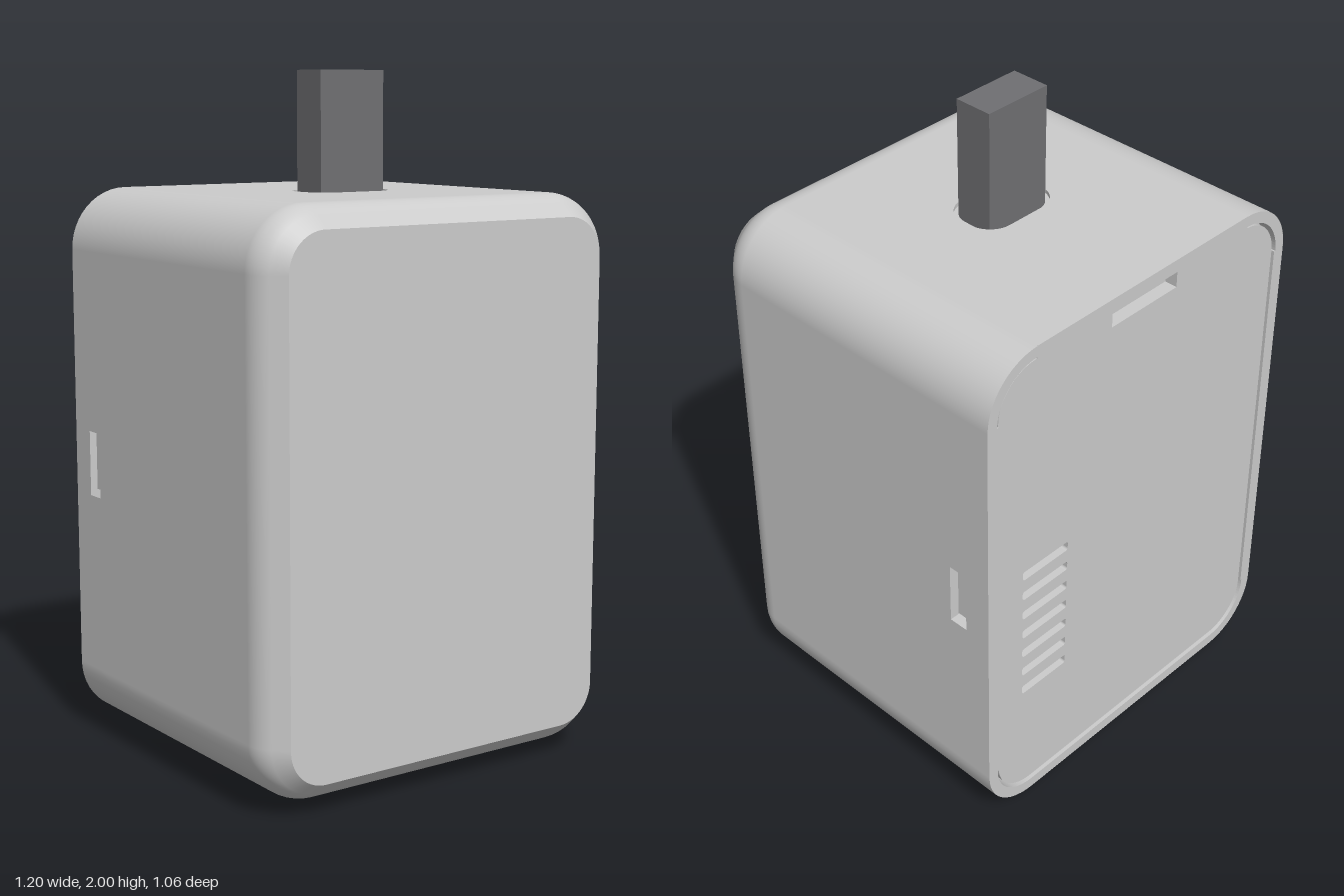
import * as THREE from 'three';

const W = 1.2, H = 1.625, R = 0.18, Y0 = 0.03, CY = Y0 + H / 2;
const BACK = -0.53, FRONT = 0.53, BEND = 0.42, WALL = 0.04;

const paint = (color, side = THREE.FrontSide) => new THREE.MeshStandardMaterial({ color, side });
const grey = paint(0xcccccc);
const greyDouble = paint(0xcccccc, THREE.DoubleSide);
const plugGrey = paint(0x6f6f72);
const rubber = paint(0x45464a);
const rubberDark = paint(0x353539);
const blue = paint(0x5986c4);

// Rounded rectangle centred on (cx, cy)
function rounded(w, h, r, cx = 0, cy = 0, Kind = THREE.Shape) {
  const p = new Kind(), x = w / 2 - r, y = h / 2 - r;
  p.absarc(cx + x, cy + y, r, 0, Math.PI / 2);
  p.absarc(cx - x, cy + y, r, Math.PI / 2, Math.PI);
  p.absarc(cx - x, cy - y, r, Math.PI, Math.PI * 1.5);
  p.absarc(cx + x, cy - y, r, Math.PI * 1.5, Math.PI * 2);
  p.closePath();
  return p;
}

// Plain rectangle between two corners
function rect(x0, y0, x1, y1, Kind = THREE.Shape) {
  return new Kind([[x0, y0], [x1, y0], [x1, y1], [x0, y1]].map(([x, y]) => new THREE.Vector2(x, y)));
}

const slab = (shape, depth, extra = {}) =>
  new THREE.ExtrudeGeometry(shape, { depth, bevelEnabled: false, curveSegments: 12, ...extra });

// Casing skin: a rounded rectangle swept along z, rounding into a 45 degree
// front chamfer. Flat top and sides are left out of the straight span.
function casingGeometry() {
  const N = 12, profile = [[0, BACK, 0], [0, BEND, 0]];
  for (let i = 1; i <= 6; i++) {
    const a = (i / 6) * Math.PI / 4;
    profile.push([0.1 * (1 - Math.cos(a)), BEND + 0.1 * Math.sin(a), a]);
  }
  profile.push([0.065, FRONT, Math.PI / 4]);
  const pos = [], nor = [], idx = [], count = 4 * (N + 1);
  for (const [inset, z, a] of profile) {
    for (let c = 0; c < 4; c++) {
      const sx = c === 0 || c === 3 ? 1 : -1, sy = c < 2 ? 1 : -1;
      for (let i = 0; i <= N; i++) {
        const t = (c + i / N) * Math.PI / 2, r = R - inset;
        pos.push(sx * (W / 2 - R) + r * Math.cos(t), CY + sy * (H / 2 - R) + r * Math.sin(t), z);
        nor.push(Math.cos(t) * Math.cos(a), Math.sin(t) * Math.cos(a), Math.sin(a));
      }
    }
  }
  for (let k = 0; k < profile.length - 1; k++) {
    for (let j = 0; j < count; j++) {
      const flat = j % (N + 1) === N, bottom = j === 2 * (N + 1) + N;
      if (k === 0 && flat && !bottom) continue;
      const a = k * count + j, b = k * count + (j + 1) % count;
      idx.push(a, b, b + count, a, b + count, a + count);
    }
  }
  const g = new THREE.BufferGeometry();
  g.setAttribute('position', new THREE.Float32BufferAttribute(pos, 3));
  g.setAttribute('normal', new THREE.Float32BufferAttribute(nor, 3));
  g.setIndex(idx);
  return g;
}

export function createModel() {
  const model = new THREE.Group();
  const add = (name, geometry, material, x = 0, y = 0, z = 0) => {
    const m = new THREE.Mesh(geometry, material);
    m.name = name;
    m.position.set(x, y, z);
    model.add(m);
    return m;
  };
  const box = (w, h, d) => new THREE.BoxGeometry(w, h, d);

  // Casing and front face
  add('casing', casingGeometry(), greyDouble);
  add('frontFace', new THREE.ShapeGeometry(rounded(W - 0.13, H - 0.13, R - 0.065), 12), greyDouble, 0, CY, FRONT);

  // Top wall with the plug opening and its lip
  const top = rect(-W / 2 + R, -BEND, W / 2 - R, -BACK);
  top.holes.push(rounded(0.28, 0.185, 0.075, 0, 0, THREE.Path));
  add('topWall', slab(top, WALL).rotateX(-Math.PI / 2), grey, 0, Y0 + H - WALL, 0);
  const lip = rounded(0.28, 0.185, 0.075);
  lip.holes.push(rounded(0.25, 0.16, 0.06, 0, 0, THREE.Path));
  add('openingLip', slab(lip, WALL).rotateX(-Math.PI / 2), grey, 0, Y0 + H - WALL - 0.012, 0);

  // Side walls, each with a latch slot near the back
  for (const s of [1, -1]) {
    const side = rect(-s * BEND, Y0 + R, -s * BACK, Y0 + H - R);
    side.holes.push(rect(s * 0.385, 0.745, s * 0.445, 0.94, THREE.Path));
    add(s > 0 ? 'leftWall' : 'rightWall', slab(side, WALL).rotateY(s * Math.PI / 2), grey, s * (W / 2 - WALL));
    add('sideLatch', box(0.04, 0.175, 0.045), grey, s * 0.56, 0.85, -0.418);
  }

  // Rear rim and the ledge closing the seam
  const rim = rounded(W - 0.002, H - 0.002, R - 0.001);
  rim.holes.push(rounded(W - 0.07, H - 0.07, R - 0.035, 0, 0, THREE.Path));
  add('rearRim', slab(rim, 0.07), grey, 0, CY, BACK);
  const ledge = rounded(W - 0.06, H - 0.06, R - 0.03);
  ledge.holes.push(rounded(W - 0.16, H - 0.16, R - 0.08, 0, 0, THREE.Path));
  add('rearLedge', slab(ledge, 0.02), grey, 0, CY, BACK + 0.045);

  // Rear panel with a notch in its top edge and seven vents
  const hw = W / 2 - 0.045, hh = H / 2 - 0.045, r = R - 0.045;
  const panel = new THREE.Shape();
  panel.absarc(hw - r, hh - r, r, 0, Math.PI / 2);
  for (const [x, y] of [[0.13, hh], [0.13, hh - 0.05], [-0.13, hh - 0.05], [-0.13, hh]]) panel.lineTo(x, y);
  panel.absarc(r - hw, hh - r, r, Math.PI / 2, Math.PI);
  panel.absarc(r - hw, r - hh, r, Math.PI, Math.PI * 1.5);
  panel.absarc(hw - r, r - hh, r, Math.PI * 1.5, Math.PI * 2);
  panel.closePath();
  for (let i = 0; i < 7; i++) {
    panel.holes.push(rounded(0.18, 0.03, 0.008, 0.37, 0.46 + i * 0.073 - CY, THREE.Path));
  }
  add('rearPanel', slab(panel, 0.04), grey, 0, CY, BACK + 0.006);
  add('topLatch', box(0.26, 0.07, 0.02), grey, 0, 1.58, BACK + 0.055);

  // Plug standing in its socket
  add('plug', box(0.22, 0.5, 0.12), plugGrey, 0, 1.75, 0);
  add('socket', box(0.32, 0.06, 0.24), blue, 0, 1.49, 0);
  add('socketGuard', box(0.18, 0.08, 0.02), plugGrey, 0, 1.55, -0.072);

  // Rubber foot with a recessed centre
  const foot = rounded(0.665, 0.56, 0.1);
  foot.holes.push(rounded(0.46, 0.32, 0.015, 0, 0, THREE.Path));
  const bevel = { bevelEnabled: true, bevelThickness: 0.01, bevelSize: 0.01, bevelSegments: 1 };
  add('foot', slab(foot, 0.02, bevel).rotateX(Math.PI / 2), rubber, 0, 0.03, 0.055);
  add('footRecess', box(0.47, 0.01, 0.33), rubberDark, 0, 0.031, 0.055);

  return model;
}
